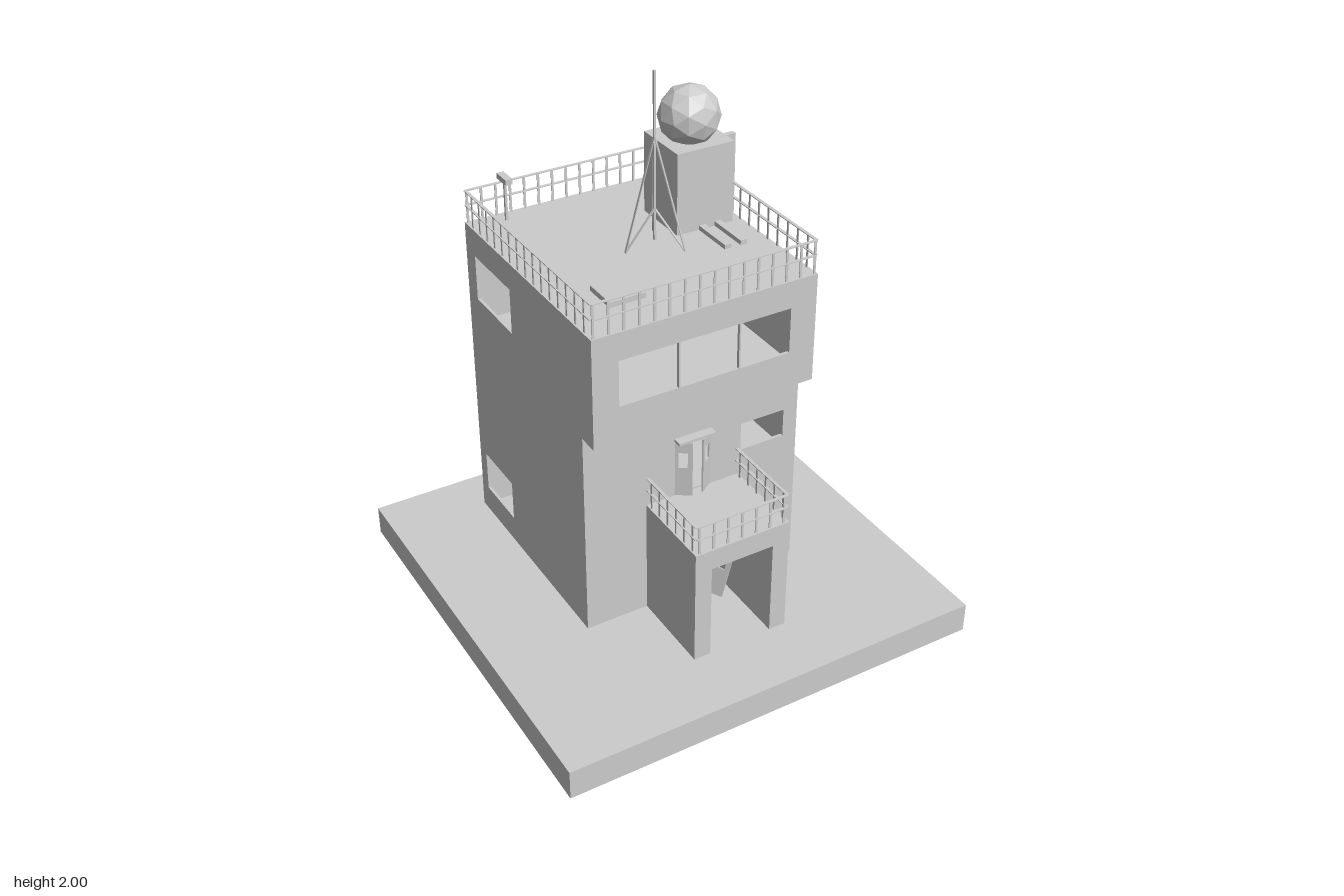
import * as THREE from 'three';

const mat = new THREE.MeshStandardMaterial({ color: 0xcccccc, flatShading: true, side: THREE.DoubleSide });
const T = 0.012; // wall thickness
const GROUND = 0.115, FLOOR1 = 0.57, FLOOR2 = 0.935, ROOF = 1.355;
const X = 0.433, BACK = -0.637, FRONT = 0.23, BAY = 0.31;

function add(parent, name, geometry) {
  const mesh = new THREE.Mesh(geometry, mat);
  mesh.name = name;
  parent.add(mesh);
  return mesh;
}

// Box given by its limits on each axis
function box(parent, name, x0, x1, y0, y1, z0, z1) {
  const mesh = add(parent, name, new THREE.BoxGeometry(x1 - x0, y1 - y0, z1 - z0));
  mesh.position.set((x0 + x1) / 2, (y0 + y1) / 2, (z0 + z1) / 2);
  return mesh;
}

// Upright slab from an outline, with rectangular openings [x0, x1, y0, y1]
function panel(parent, name, outline, openings = [], depth = T) {
  const shape = new THREE.Shape(outline.map(([x, y]) => new THREE.Vector2(x, y)));
  for (const [a, b, c, d] of openings) {
    shape.holes.push(new THREE.Path([[a, c], [a, d], [b, d], [b, c]].map(([x, y]) => new THREE.Vector2(x, y))));
  }
  return add(parent, name, new THREE.ExtrudeGeometry(shape, { depth, bevelEnabled: false }));
}

const rect = (x0, x1, y0, y1) => [[x0, y0], [x1, y0], [x1, y1], [x0, y1]];

// Outline of a wall with a doorway cut up from its bottom edge
const doorway = (x0, x1, y0, y1, d0, d1, top) =>
  [[x0, y0], [d0, y0], [d0, top], [d1, top], [d1, y0], [x1, y0], [x1, y1], [x0, y1]];

// Thin strip between two points
function strip(parent, name, a, b, width, thick) {
  const from = new THREE.Vector3(...a), to = new THREE.Vector3(...b);
  const mesh = add(parent, name, new THREE.BoxGeometry(width, thick, from.distanceTo(to)));
  mesh.position.copy(from).lerp(to, 0.5);
  mesh.lookAt(to);
  return mesh;
}

// One straight run of railing: flat posts and two flat rails
function railing(parent, a, b, y, height, count, inset = 0) {
  const [ax, az] = a, [bx, bz] = b;
  const length = Math.hypot(bx - ax, bz - az);
  const run = new THREE.Group();
  run.name = 'railing';
  for (const h of [height, height * 0.55]) {
    strip(run, 'rail', [ax, y + h, az], [bx, y + h, bz], 0.012, 0.003);
  }
  for (let i = 0; i < count; i++) {
    const t = (inset + (length - 2 * inset) * i / (count - 1)) / length;
    const post = add(run, 'railPost', new THREE.BoxGeometry(0.003, height, 0.009));
    post.position.set(ax + (bx - ax) * t, y + height / 2, az + (bz - az) * t);
    post.rotation.y = Math.atan2(bx - ax, bz - az);
  }
  parent.add(run);
}

// Door leaf with a small window, hinged on its left edge
function doorLeaf(parent, w, h, position, ry, rz = 0) {
  const leaf = panel(parent, 'doorLeaf', rect(0, w, 0, h), [[w * 0.2, w * 0.72, h * 0.53, h * 0.81]], 0.006);
  leaf.position.set(...position);
  leaf.rotation.set(0, ry, rz, 'ZYX');
}

export function createModel() {
  const model = new THREE.Group();
  model.name = 'watchtower';
  box(model, 'base', -0.812, 0.812, 0, GROUND, -0.812, 0.812);

  // Tower walls
  const tower = new THREE.Group();
  tower.name = 'tower';
  model.add(tower);
  const profile = [[BACK, GROUND], [FRONT, GROUND], [FRONT, FLOOR2], [BAY, FLOOR2], [BAY, ROOF], [BACK, ROOF]];
  const leftWall = panel(tower, 'leftWall', profile, [[-0.23, 0.05, 0.22, 0.38]]);
  const rightWall = panel(tower, 'rightWall', profile,
    [[-0.585, -0.36, 0.22, 0.38], [-0.565, -0.285, 1.075, 1.25]]);
  leftWall.rotation.y = rightWall.rotation.y = -Math.PI / 2;
  leftWall.position.x = X;
  rightWall.position.x = -X + T;

  const inner = X - T;
  panel(tower, 'backWall', doorway(-inner, inner, GROUND, ROOF, 0.145, 0.285, 0.365),
    [[-0.345, -0.1, 0.22, 0.38]]).position.z = BACK;
  panel(tower, 'frontWall', doorway(-inner, inner, GROUND, FLOOR2, -0.075, 0.07, 0.365),
    [[0.195, 0.375, 0.67, 0.78], [-0.075, 0.068, 0.576, 0.8]]).position.z = FRONT - T;
  panel(tower, 'bayWall', rect(-inner, inner, FLOOR2, ROOF),
    [[-0.335, -0.11, 1.075, 1.25], [-0.104, 0.125, 1.075, 1.25], [0.131, 0.33, 1.075, 1.25]]).position.z = BAY - T;

  // Floors and roof
  box(tower, 'middleFloor', -inner, inner, FLOOR1 - T, FLOOR1, BACK + T, FRONT - T);
  box(tower, 'upperFloor', -inner, inner, FLOOR2, FLOOR2 + T, BACK + T, BAY - T);
  box(tower, 'roof', -inner, inner, ROOF - T, ROOF, BACK + T, BAY - T);

  // Porch carrying the balcony
  panel(model, 'porch', doorway(-0.19, 0.187, GROUND, FLOOR1, -0.125, 0.122, 0.49), [], 0.56 - FRONT)
    .position.z = FRONT;
  box(model, 'balconyLintel', -0.078, 0.07, 0.8, 0.81, FRONT, FRONT + 0.035);

  // Doors: balcony pair, porch pair with one fallen leaf, back door
  doorLeaf(model, 0.062, 0.222, [-0.075, 0.576, FRONT], -0.6);
  doorLeaf(model, 0.062, 0.222, [0.068, 0.576, FRONT + 0.004], Math.PI + 0.6);
  doorLeaf(model, 0.072, 0.225, [-0.066, GROUND, 0.236], Math.PI + 0.9);
  doorLeaf(model, 0.07, 0.215, [0.042, GROUND, 0.26], -1.1, -0.27);
  doorLeaf(model, 0.08, 0.225, [0.272, GROUND, BACK - 0.008], 0.1);

  // Roof railing
  const rx = X - 0.007, rf = BAY - 0.007, rb = BACK + 0.007;
  for (const z of [rf, rb]) railing(model, [-rx, z], [rx, z], ROOF, 0.125, 16, 0.004);
  for (const x of [-rx, rx]) railing(model, [x, rb], [x, rf], ROOF, 0.125, 15, 0.05);

  // Balcony railing
  railing(model, [-0.183, 0.552], [0.18, 0.552], FLOOR1, 0.112, 7, 0.012);
  for (const x of [-0.183, 0.18]) railing(model, [x, FRONT], [x, 0.552], FLOOR1, 0.112, 6, 0.025);

  // Radar dome on its block
  box(model, 'domeBlock', 0.165, 0.395, ROOF, 1.665, -0.395, -0.165);
  add(model, 'dome', new THREE.IcosahedronGeometry(0.113, 1)).position.set(0.28, 1.745, -0.28);
  for (const x of [0.255, 0.32]) box(model, 'roofDuct', x, x + 0.026, ROOF, 1.372, -0.165, 0.006);

  // Drain pipe with brackets
  box(model, 'drainPipe', 0.443, 0.465, GROUND, 1.64, -0.287, -0.265);
  box(model, 'drainPipeArm', 0.395, 0.443, 1.62, 1.64, -0.287, -0.265);
  for (const y of [0.855, 1.283]) box(model, 'pipeBracket', 0.43, 0.471, y - 0.012, y + 0.012, -0.291, -0.261);

  // Antenna mast with three legs and braces
  const mx = 0.06, mz = -0.14;
  box(model, 'antennaMast', mx - 0.004, mx + 0.004, 1.38, 2, mz - 0.004, mz + 0.004);
  for (const [x, z] of [[-0.055, -0.143], [0.115, -0.245], [0.132, -0.055]]) {
    strip(model, 'antennaLeg', [mx, 1.77, mz], [x, ROOF, z], 0.01, 0.003);
    strip(model, 'antennaBrace', [mx, 1.5, mz], [x, ROOF, z], 0.01, 0.003);
  }

  // Roof hatch and floodlight
  box(model, 'roofHatch', -0.283, -0.148, ROOF, 1.375, 0.025, 0.16);
  box(model, 'floodlightPost', -0.301, -0.292, ROOF, 1.507, -0.582, -0.572);
  box(model, 'floodlight', -0.31, -0.283, 1.507, 1.528, -0.613, -0.54);

  return model;
}
